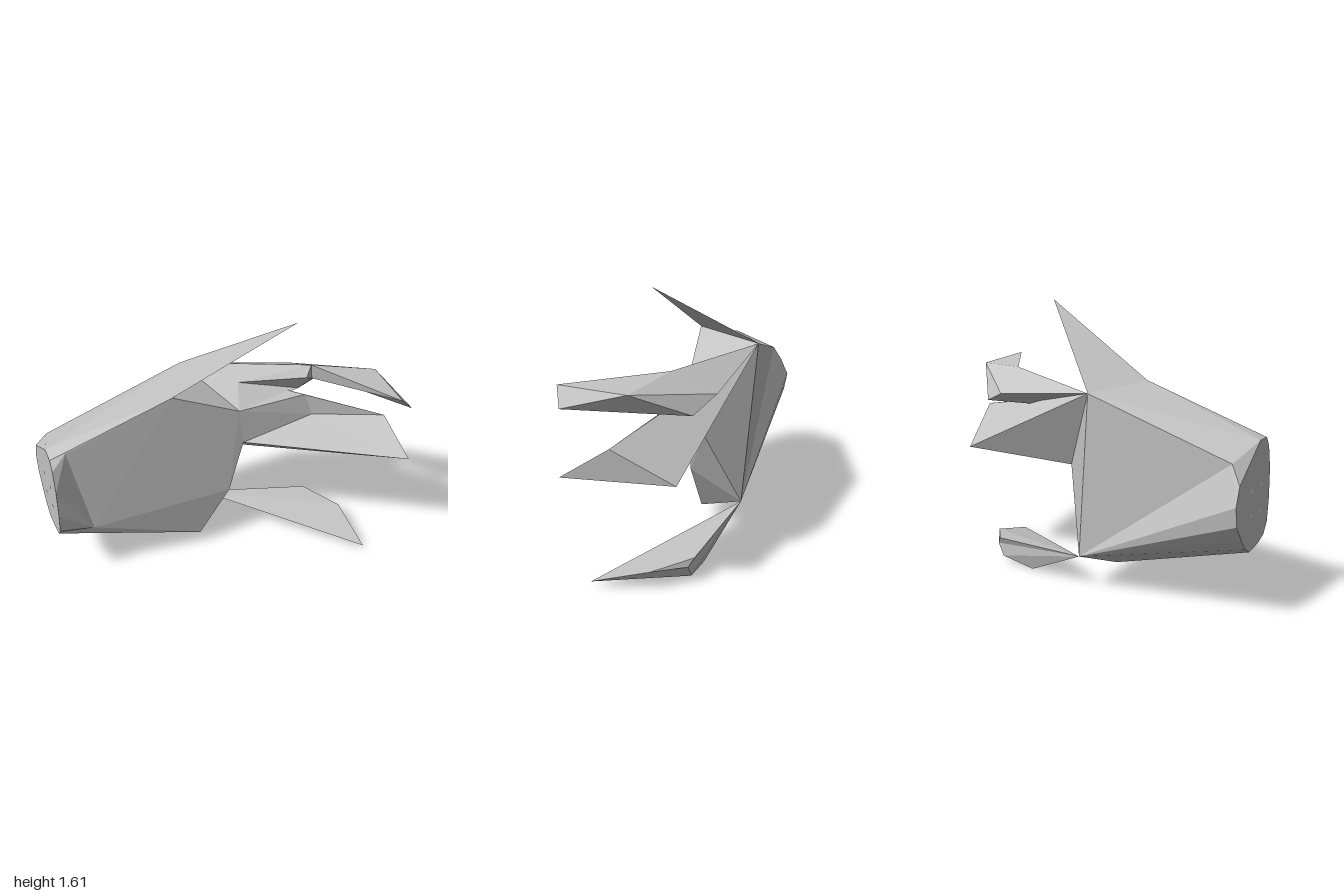
import * as THREE from 'three';
import { ConvexGeometry } from 'three/addons/geometries/ConvexGeometry.js';

// Shared corner points of the palm, where the fingers take root
const P = {
  topFront: [-0.28, 1.2, -0.03], topBack: [-0.1, 1.17, -0.4],
  heelBack: [0, 0.2, -0.33], heelFront: [-0.11, 0.1, -0.07],
  edgeTop: [0.13, 1.0, -0.03], edgeMid: [0.16, 0.76, -0.035], edgeLow: [0.16, 0.68, -0.13],
};

// Builds a faceted solid from named points; faces are listed by name and turned outward
function facets(points, faces) {
  const v = {};
  const centre = new THREE.Vector3();
  const names = Object.keys(points);
  for (const n of names) {
    v[n] = new THREE.Vector3(...points[n]);
    centre.addScaledVector(v[n], 1 / names.length);
  }
  const out = [];
  for (const face of faces) {
    const [a, b, c] = face.split(' ').map((n) => v[n]);
    const t = new THREE.Triangle(a, b, c);
    const normal = t.getNormal(new THREE.Vector3());
    const mid = t.getMidpoint(new THREE.Vector3()).sub(centre);
    const order = normal.dot(mid) < 0 ? [a, c, b] : [a, b, c];
    for (const p of order) out.push(p.x, p.y, p.z);
  }
  const g = new THREE.BufferGeometry();
  g.setAttribute('position', new THREE.Float32BufferAttribute(out, 3));
  g.computeVertexNormals();
  return g;
}

export function createModel() {
  const hand = new THREE.Group();
  hand.name = 'hand';
  const grey = new THREE.MeshStandardMaterial({ color: 0xc4c4c4, flatShading: true, side: THREE.DoubleSide });
  grey.name = 'grey';
  const pale = new THREE.MeshStandardMaterial({ color: 0xe8e8e8 });
  pale.name = 'pale grey';
  const add = (name, geometry, material = grey) => {
    const m = new THREE.Mesh(geometry, material);
    m.name = name;
    hand.add(m);
    return m;
  };

  // Wrist outline (y, z), and the ring of corners where the wrist meets the palm
  const wrist = [
    [0.955, -0.05], [0.9, -0.01], [0.77, 0.02], [0.6, 0.02], [0.47, 0], [0.41, -0.05], [0.385, -0.14],
    [0.375, -0.27], [0.41, -0.335], [0.48, -0.4], [0.57, -0.47], [0.68, -0.49], [0.78, -0.445], [0.96, -0.15],
  ].map(([y, z]) => new THREE.Vector3(-1, y, z));
  const toVectors = (list) => list.map((p) => new THREE.Vector3(...p));
  const cuff = toVectors([
    [-0.94, 0.88, -0.4], [-0.91, 0.98, -0.045], [-0.79, 0.4, -0.035], [-0.88, 0.355, -0.1],
  ]);

  // Palm: flat block, with a flared cuff at the wrist and a ridge running down to the heel
  const bulge = [0.07, 0.42, -0.035];
  const palmCorners = toVectors([...Object.values(P), bulge]);
  const flatRing = wrist.filter((p) => p.z < -0.045 && p.z > -0.36);
  add('palm', new ConvexGeometry([...flatRing, ...cuff, ...palmCorners]));
  add('wristCuff', new ConvexGeometry([...wrist, ...cuff]));
  const backRing = wrist.filter((p) => p.z < -0.2);
  add('heelRidge', new ConvexGeometry([...backRing, cuff[0], new THREE.Vector3(...P.heelBack)]));

  // Thumb: one pointed blade continuing the top of the palm
  add('thumb', facets(
    { a: P.topFront, b: P.topBack, tip: [0.41, 1.61, 0.11], under: [0, 1, -0.1] },
    ['a b tip'],
  ));

  // Upper finger: bends forward at a knuckle, with a groove along its inner side
  add('upperFinger', facets({
    B: P.topBack, G: P.edgeTop,
    N: [0.58, 1.21, -0.03], H: [0.55, 1.09, -0.27], R: [0.71, 1.02, -0.17], L: [0.53, 1.03, -0.08],
    S: [0.17, 1.11, -0.16], K: [0.54, 1.15, 0], C: [0.6, 1.1, -0.05],
    tipTop: [0.89, 1.21, 0.49], tipLow: [0.98, 1.115, 0.455], tipBack: [0.92, 1.19, 0.12],
  }, [
    'B N H', 'B G S', 'B S N', 'S K N', 'S K L', 'G S L', 'K C L', 'B H G', 'G H R', 'G R L',
    'N tipTop tipBack', 'N tipBack H', 'H tipBack R', 'tipBack tipLow R', 'tipBack tipTop tipLow',
    'N K C', 'N C tipTop', 'C L R', 'C R tipTop', 'R tipLow tipTop',
  ]));

  // Middle finger: broad wedge with a three-cornered end
  add('middleFinger', facets({
    B: P.topBack, G: P.edgeTop, F: P.edgeMid, E: P.edgeLow,
    M: [0.6, 0.86, -0.02], H: [0.55, 1.01, -0.03],
    tipTop: [0.96, 0.91, 0.21], tipFront: [1, 0.75, 0.465], tipBack: [0.89, 0.7, -0.12],
  }, [
    'F tipFront M', 'tipFront tipTop M', 'M tipTop H', 'F M G', 'G M H', 'B G H', 'B H tipTop',
    'B tipTop tipBack', 'B tipBack E', 'E tipBack tipFront', 'E tipFront F', 'tipTop tipFront tipBack',
  ]));

  // Little finger: starts from a single point at the heel of the palm
  add('littleFinger', facets({
    D: P.heelBack, low: [0.41, 0.003, -0.18], top: [0.65, 0.16, -0.17], side: [0.8, 0.13, 0.05],
    tip: [0.815, 0.045, 0.375], back: [0.64, 0.04, -0.15], fold: [0.68, 0.115, -0.14],
  }, [
    'D top side', 'D side tip', 'D tip low', 'D low back', 'D back fold', 'D fold top',
    'top fold side', 'fold tip side', 'fold back tip', 'low tip back',
  ]));

  // Four small dots on the wrist end
  for (const z of [-0.26, -0.12]) {
    for (const y of [0.57, 0.71]) {
      const dot = add('wristDot', new THREE.CircleGeometry(0.012, 8), pale);
      dot.rotation.y = -Math.PI / 2;
      dot.position.set(-1.002, y, z);
    }
  }
  return hand;
}
